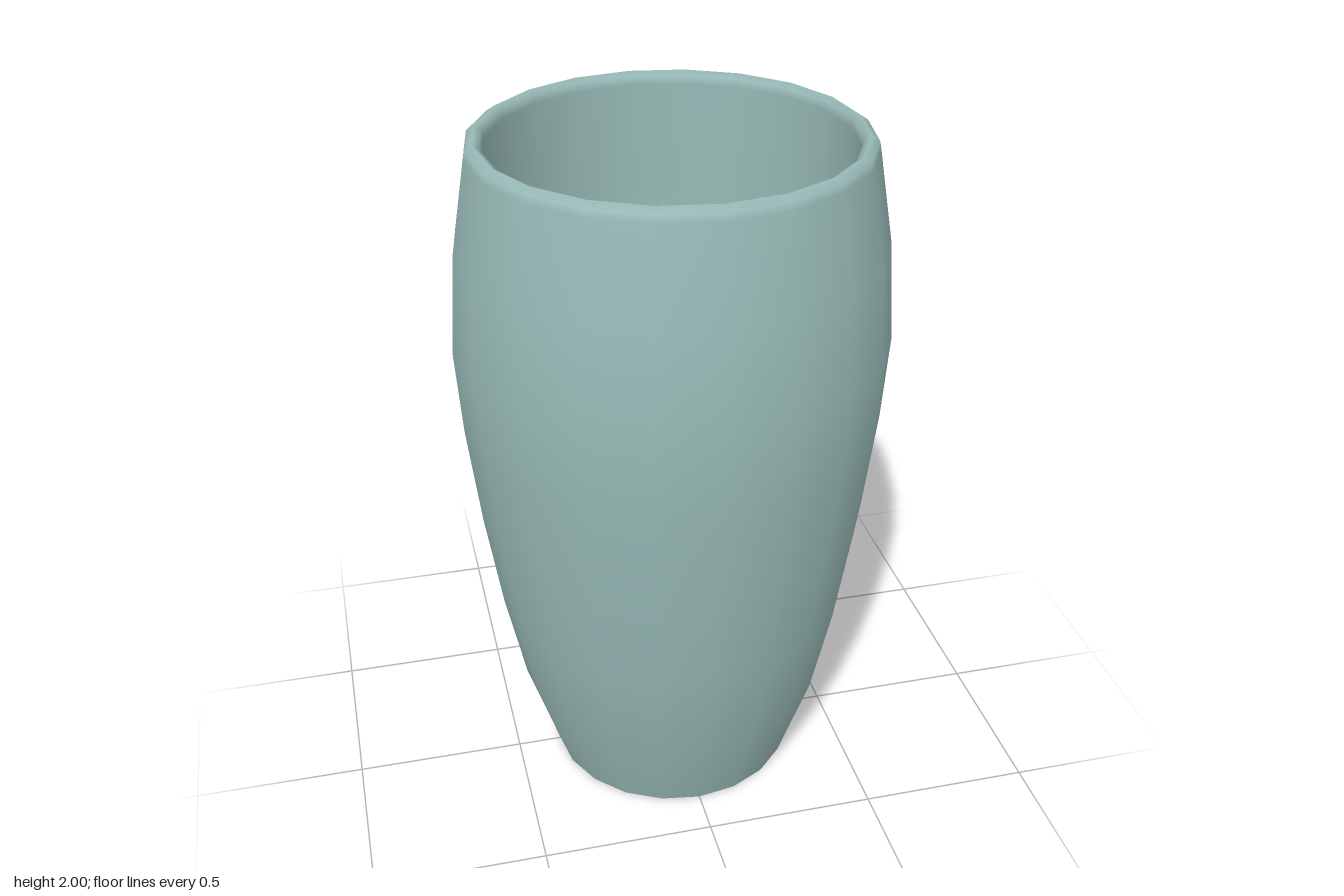
import * as THREE from 'three';

export function createModel() {
  const group = new THREE.Group();
  group.name = 'tumbler';
  const glaze = new THREE.MeshStandardMaterial({ color: 0x98bab7 });
  glaze.name = 'pale teal glaze';

  // Each profile is a list of [radius, height], turned with 20 sides
  const turn = (name, profile) => {
    const points = profile.map(([r, y]) => new THREE.Vector2(r, y));
    const mesh = new THREE.Mesh(new THREE.LatheGeometry(points, 20), glaze);
    mesh.name = name;
    group.add(mesh);
  };

  // Rounded underside of the bowl, set up inside the foot
  turn('underside', [[0, 0.1], [0.1, 0.106], [0.2, 0.127], [0.29, 0.165], [0.347, 0.2]]);

  // Inside and bottom edge of the foot ring
  turn('footRing', [[0.347, 0.2], [0.35, 0.14], [0.362, 0]]);
  turn('footEdge', [[0.362, 0], [0.367, 0]]);

  // Bulging outer wall, narrow lip and inner wall down to the bowl floor
  turn('cupWall', [
    [0.367, 0], [0.46, 0.29], [0.517, 0.57], [0.562, 0.87], [0.596, 1.17],
    [0.612, 1.42], [0.592, 1.7], [0.546, 1.965], [0.542, 1.985],
    [0.52, 2], [0.502, 1.988], [0.498, 1.965],
    [0.503, 1.7], [0.505, 1.42], [0.502, 1.17], [0.492, 0.87],
    [0.458, 0.57], [0.395, 0.37], [0.3, 0.245], [0.2, 0.18], [0.1, 0.148], [0, 0.138],
  ]);

  return group;
}
